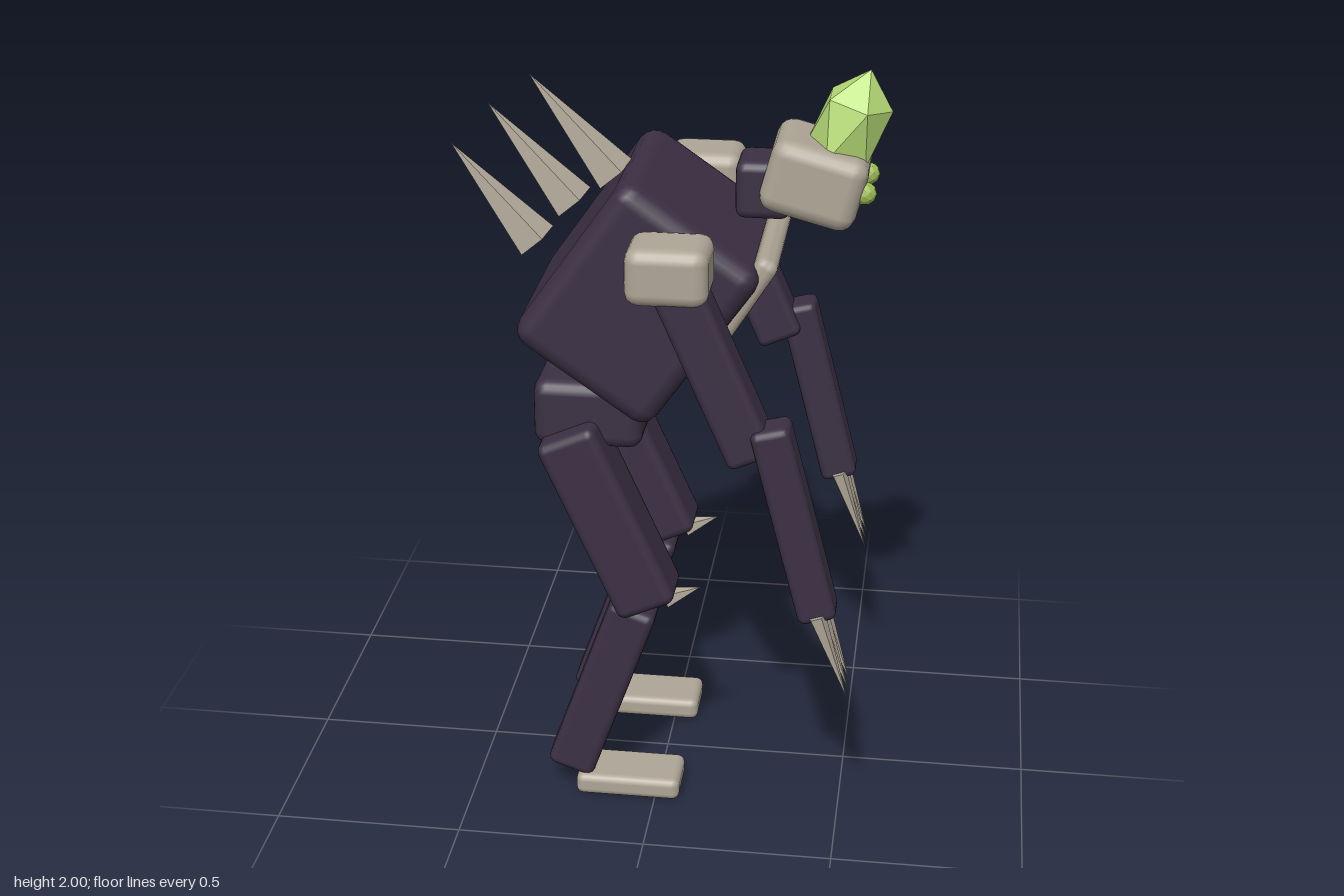
import * as THREE from 'three';
import { RoundedBoxGeometry } from 'three/addons/geometries/RoundedBoxGeometry.js';

const hide = new THREE.MeshStandardMaterial({ color: 0x3b3044 });
const bone = new THREE.MeshStandardMaterial({ color: 0xaea596 });
const spine = new THREE.MeshStandardMaterial({ color: 0xaea596, flatShading: true });
const crystalGreen = new THREE.MeshStandardMaterial({ color: 0xb9de78, flatShading: true });
const eyeGreen = new THREE.MeshStandardMaterial({ color: 0x9dbd55, flatShading: true });

export function createModel() {
  const model = new THREE.Group();
  model.name = 'creature';

  const add = (name, geometry, material, parent = model) => {
    const mesh = new THREE.Mesh(geometry, material);
    mesh.name = name;
    parent.add(mesh);
    return mesh;
  };

  // Soft-edged block: size [x, y, z], centre [x, y, z], tilt in degrees about z
  const block = (name, material, size, at, tilt, bevel, parent) => {
    const mesh = add(name, new RoundedBoxGeometry(...size, 2, bevel), material, parent);
    mesh.position.set(...at);
    mesh.rotation.z = THREE.MathUtils.degToRad(tilt);
    return mesh;
  };

  // Five-sided spike from the centre of its base to its tip
  const spike = (name, radius, base, tip, parent) => {
    const a = new THREE.Vector3(...base), b = new THREE.Vector3(...tip);
    const dir = b.clone().sub(a);
    const geometry = new THREE.ConeGeometry(radius, dir.length(), 5).rotateY(Math.PI);
    const mesh = add(name, geometry, spine, parent);
    mesh.position.copy(a).add(b).multiplyScalar(0.5);
    mesh.quaternion.setFromUnitVectors(new THREE.Vector3(0, 1, 0), dir.normalize());
    return mesh;
  };

  // Body, leaning towards +x
  block('torso', hide, [0.43, 0.525, 0.55], [-0.05, 1.434, 0], -35, 0.05);
  block('chestPlate', bone, [0.06, 0.37, 0.44], [0.188, 1.402, 0], -32, 0.025);
  block('pelvis', hide, [0.285, 0.18, 0.45], [-0.183, 1.115, 0], 0, 0.035);
  block('neck', hide, [0.14, 0.15, 0.16], [0.25, 1.695, 0], 0, 0.025);

  // Back spikes
  [[-0.349, 1.51], [-0.249, 1.62], [-0.14, 1.7]].forEach(([x, y], i) =>
    spike('backSpike' + (i + 1), 0.061, [x, y, 0], [x - 0.215, y + 0.258, 0]));

  // Head with a slanted, stretched crystal on top
  block('head', bone, [0.25, 0.193, 0.26], [0.379, 1.724, 0], -15, 0.042);
  const crystal = new THREE.IcosahedronGeometry(1.902, 0);
  crystal.applyMatrix4(new THREE.Matrix4().makeBasis(
    new THREE.Vector3(0.029, -0.053, 0),
    new THREE.Vector3(0.049, 0.0605, 0),
    new THREE.Vector3(0, 0, 0.0575)).setPosition(0.458, 1.849, 0));
  add('crystal', crystal, crystalGreen);

  // Paired parts
  for (const s of [1, -1]) {
    const side = s > 0 ? 'left' : 'right';
    add(side + 'Eye', new THREE.IcosahedronGeometry(0.03, 1), eyeGreen)
      .position.set(0.507, 1.705, s * 0.081);

    const arm = new THREE.Group();
    arm.name = side + 'Arm';
    model.add(arm);
    block('shoulder', bone, [0.206, 0.147, 0.18], [0.055, 1.593, s * 0.386], 0, 0.035, arm);
    block('upperArm', hide, [0.125, 0.54, 0.115], [0.163, 1.364, s * 0.405], 23.5, 0.02, arm);
    block('forearm', hide, [0.1, 0.54, 0.105], [0.377, 0.953, s * 0.426], 14.5, 0.02, arm);
    for (const k of [-1, 0, 1]) {
      const z = s * 0.424 + k * 0.047;
      spike('claw', 0.024, [0.442, 0.712, z], [0.525, 0.48, z], arm);
    }

    const leg = new THREE.Group();
    leg.name = side + 'Leg';
    model.add(leg);
    block('thigh', hide, [0.165, 0.54, 0.16], [-0.127, 0.831, s * 0.21], 24, 0.025, leg);
    block('shin', hide, [0.13, 0.54, 0.13], [-0.148, 0.324, s * 0.211], -19.5, 0.022, leg);
    block('foot', bone, [0.285, 0.062, 0.155], [-0.075, 0.034, s * 0.212], 0, 0.02, leg);
    spike('kneeSpike', 0.03, [0.025, 0.595, s * 0.212], [0.115, 0.633, s * 0.212], leg);
  }
  return model;
}
